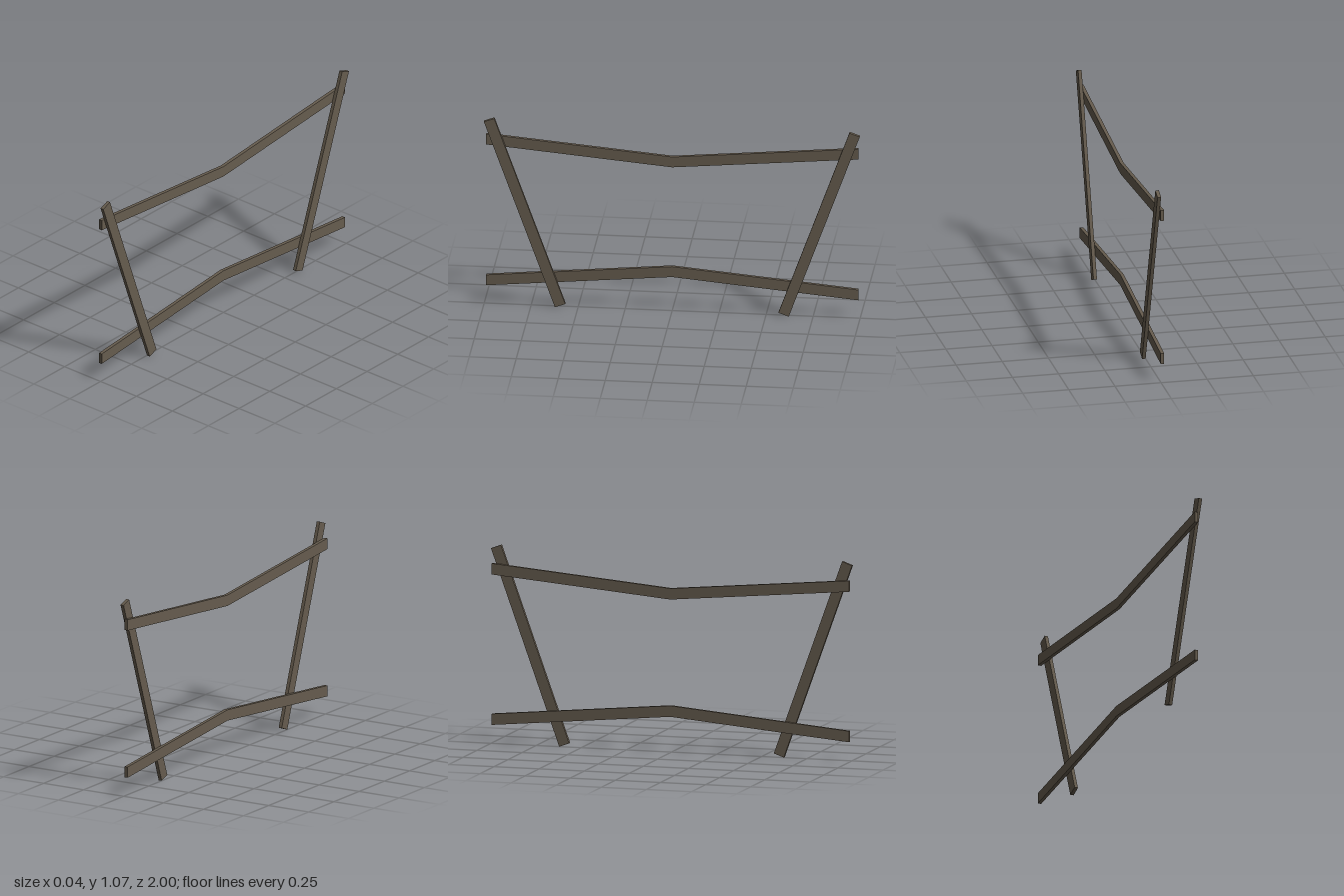
import * as THREE from 'three';

const THICK = 0.019;

export function createModel() {
  const group = new THREE.Group();
  const wood = new THREE.MeshStandardMaterial({ color: 0x665c4e });
  wood.name = 'weathered wood';

  // flat board: outline given as [z, y] points, extruded along x from x0
  const board = (name, outline, x0) => {
    const shape = new THREE.Shape(outline.map(([z, y]) => new THREE.Vector2(z, y)));
    const geo = new THREE.ExtrudeGeometry(shape, { depth: THICK, bevelEnabled: false });
    geo.rotateY(-Math.PI / 2);
    geo.translate(x0 + THICK, 0, 0);
    const mesh = new THREE.Mesh(geo, wood);
    mesh.name = name;
    group.add(mesh);
  };

  // rails bent at the middle, with upright ends
  const rail = (name, endY, midY, h) => board(name, [
    [-0.99, endY], [0, midY], [0.99, endY],
    [0.99, endY + h], [0, midY + h], [-0.99, endY + h],
  ], -THICK);
  rail('upperRail', 0.908, 0.82, 0.059);
  rail('lowerRail', 0.102, 0.192, 0.059);

  // posts leaning outward, fixed to the side of the rails
  for (const [name, s] of [['frontPost', 1], ['backPost', -1]]) {
    board(name, [
      [s * 0.622, 0], [s * 1.0, 1.045], [s * 0.945, 1.065], [s * 0.567, 0.02],
    ], 0);
  }
  return group;
}
